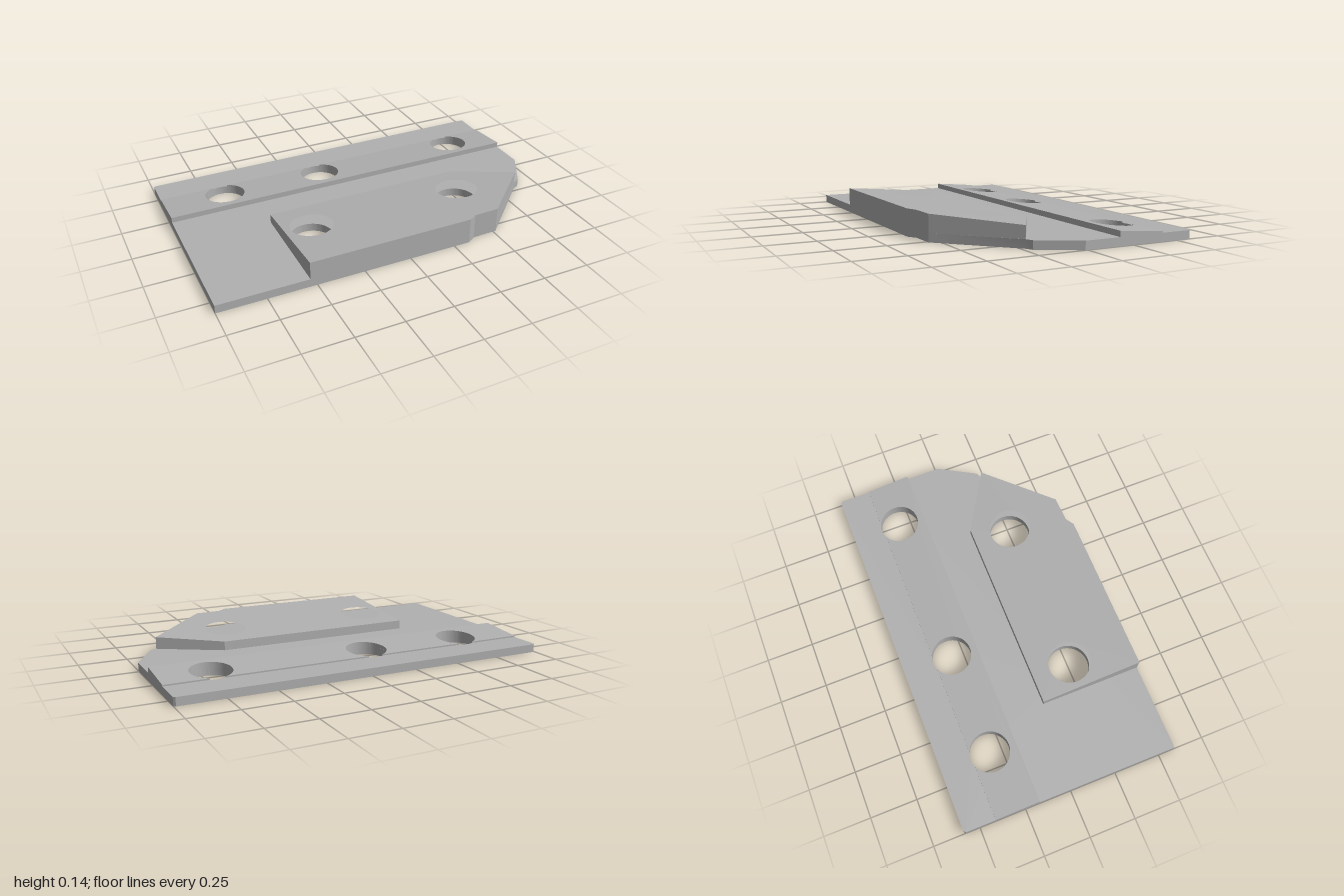
import * as THREE from 'three';
import { toCreasedNormals } from 'three/addons/utils/BufferGeometryUtils.js';

const BASE = 0.043; // thickness of the base plate

// Plan outline given as [x, z] pairs; shape y is -z
function plan(points) {
  return new THREE.Shape(points.map(([x, z]) => new THREE.Vector2(x, -z)));
}

function addHoles(shape, xs, z, r) {
  for (const x of xs) {
    const hole = new THREE.Path();
    hole.absarc(x, -z, r, 0, Math.PI * 2, true);
    shape.holes.push(hole);
  }
}

// Raise a plan shape from y0 to a top height that may vary with z
function slab(shape, y0, topAt, material, name) {
  const geo = new THREE.ExtrudeGeometry(shape, { depth: 1, bevelEnabled: false, curveSegments: 40 });
  geo.rotateX(-Math.PI / 2);
  const p = geo.attributes.position;
  for (let i = 0; i < p.count; i++) p.setY(i, p.getY(i) > 0.5 ? topAt(p.getZ(i)) : y0);
  const mesh = new THREE.Mesh(toCreasedNormals(geo, 0.35), material);
  mesh.name = name;
  return mesh;
}

export function createModel() {
  const group = new THREE.Group();
  group.name = 'mountingPlate';
  const grey = new THREE.MeshStandardMaterial({ color: 0xb0b0b0 });
  grey.name = 'grey';

  const backX = [-0.67, -0.11, 0.735], backZ = -0.317, backR = 0.106;
  const frontX = [-0.39, 0.453], frontZ = 0.247, frontR = 0.112;
  const frontEdge = [[0.515, 0.552], [0.38, 0.556], [0.335, 0.584]];

  // Base plate with clipped front corner and five through holes
  const base = plan([
    [-1, 0.584], ...[...frontEdge].reverse(), [0.85, 0.228], [0.885, 0.212],
    [1, 0.012], [1, -0.576], [0.99, -0.585], [-0.99, -0.585], [-1, -0.576],
  ]);
  addHoles(base, backX, backZ, backR);
  addHoles(base, frontX, frontZ, frontR);
  group.add(slab(base, 0, () => BASE, grey, 'basePlate'));

  // Raised block, sloping down towards the back
  const block = plan([
    [-0.535, 0.584], [-0.535, 0.04], [0.535, 0.04], [0.848, 0.228], ...frontEdge,
  ]);
  addHoles(block, frontX, frontZ, frontR);
  group.add(slab(block, BASE, (z) => 0.09 + (z - 0.04) * 0.0865, grey, 'raisedBlock'));

  // Wedge rib, with the holes just breaking through its thin back edge
  const z0 = -0.175, z1 = -0.415;
  const a = Math.acos((backZ - z1) / backR);
  const rib = new THREE.Shape();
  rib.moveTo(-1, -z0);
  rib.lineTo(1, -z0);
  rib.lineTo(1, -z1);
  for (const x of [...backX].reverse()) {
    rib.lineTo(x + backR * Math.sin(a), -z1);
    rib.absarc(x, -backZ, backR, Math.PI / 2 - a, Math.PI / 2 + a, true);
  }
  rib.lineTo(-1, -z1);
  group.add(slab(rib, BASE, (z) => 0.072 + (z - z0) * 0.09, grey, 'wedgeRib'));

  return group;
}
